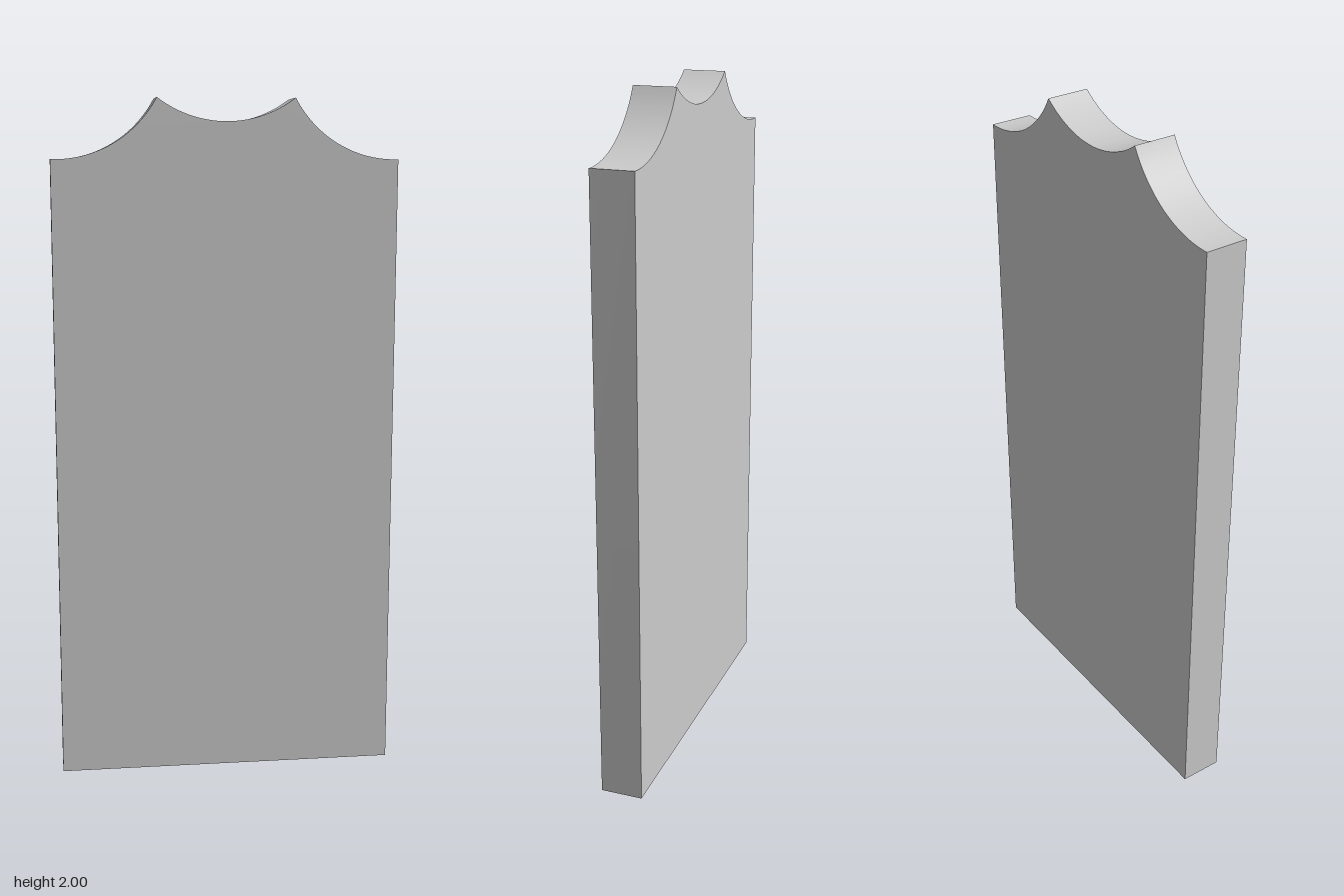
import * as THREE from 'three';
import { toCreasedNormals } from 'three/addons/utils/BufferGeometryUtils.js';

const HALF_WIDTH = 0.5, THICKNESS = 0.125, SHOULDER = 1.828, TIP_X = 0.198, TOP = 2;
const RADIUS = 0.33;

// Concave bite sweeping clockwise around (cx, cy) between two points
function scallop(shape, cx, cy, from, to) {
  const angle = ([x, y]) => Math.atan2(y - cy, x - cx);
  shape.absarc(cx, cy, RADIUS, angle(from), angle(to), true);
}

export function createModel() {
  const group = new THREE.Group();
  group.name = 'scallopedPanel';

  // Upright slab outline with three scallops along the top edge
  const sideX = 0.488, sideY = SHOULDER + RADIUS;
  const midY = TOP + Math.sqrt(RADIUS ** 2 - TIP_X ** 2);
  const rightEnd = [HALF_WIDTH, SHOULDER], leftEnd = [-HALF_WIDTH, SHOULDER];
  const rightTip = [TIP_X, TOP], leftTip = [-TIP_X, TOP];

  const outline = new THREE.Shape();
  outline.moveTo(-HALF_WIDTH, 0);
  outline.lineTo(HALF_WIDTH, 0);
  outline.lineTo(...rightEnd);
  scallop(outline, sideX, sideY, rightEnd, rightTip);
  scallop(outline, 0, midY, rightTip, leftTip);
  scallop(outline, -sideX, sideY, leftTip, leftEnd);
  outline.closePath();

  const geometry = new THREE.ExtrudeGeometry(outline, {
    depth: THICKNESS, bevelEnabled: false, curveSegments: 24,
  });
  geometry.translate(0, 0, -THICKNESS / 2);

  // Smooth scallops, sharp corners
  const panel = new THREE.Mesh(
    toCreasedNormals(geometry, Math.PI / 6),
    new THREE.MeshStandardMaterial({ color: 0xcccccc }),
  );
  panel.name = 'panel';
  group.add(panel);
  return group;
}
